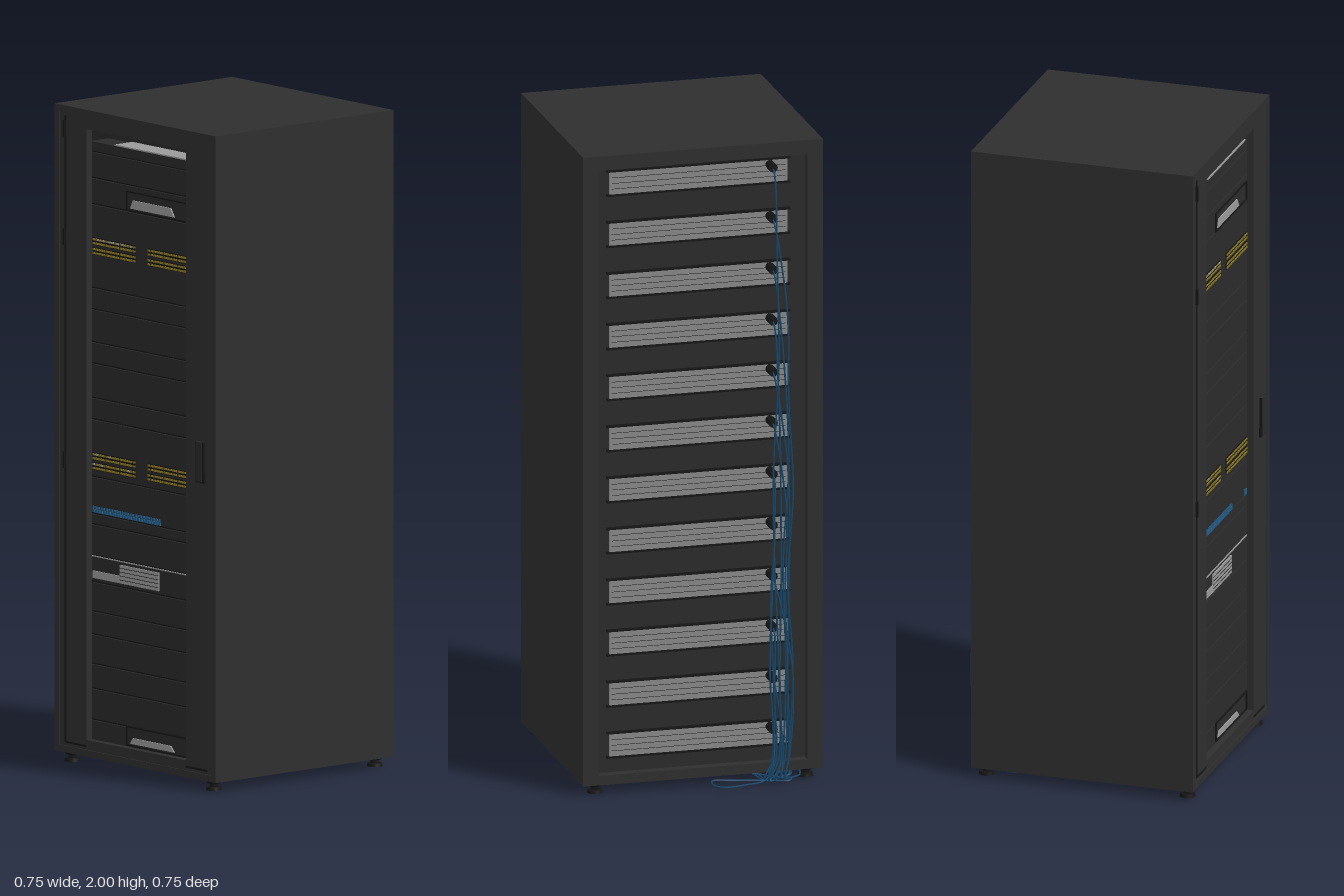
import * as THREE from 'three';
import { mergeGeometries } from 'three/addons/utils/BufferGeometryUtils.js';

const mat = (name, color, side = THREE.FrontSide) => {
  const m = new THREE.MeshStandardMaterial({ color, side });
  m.name = name;
  return m;
};

// Box geometry from its limits
function span(x0, x1, y0, y1, z0, z1) {
  return new THREE.BoxGeometry(x1 - x0, y1 - y0, z1 - z0)
    .translate((x0 + x1) / 2, (y0 + y1) / 2, (z0 + z1) / 2);
}

// Rectangular plate with one rectangular opening
function frame(o, i, z0, z1) {
  const rect = (C, [a, b, c, d]) => {
    const s = new C();
    s.moveTo(a, c); s.lineTo(b, c); s.lineTo(b, d); s.lineTo(a, d); s.closePath();
    return s;
  };
  const shape = rect(THREE.Shape, o);
  shape.holes.push(rect(THREE.Path, i));
  return new THREE.ExtrudeGeometry(shape, { depth: z1 - z0, bevelEnabled: false }).translate(0, 0, z0);
}

export function createModel() {
  const root = new THREE.Group();
  root.name = 'serverRack';
  const body = mat('cabinetCharcoal', 0x2e2e2e);
  const device = mat('deviceCharcoal', 0x2a2a2a);
  const black = mat('gapBlack', 0x151515);
  const light = mat('lightGrey', 0x9a9a9a);
  const grille = mat('grilleGrey', 0x8a8a8a);
  const yellow = mat('portYellow', 0x8a7822);
  const blue = mat('portBlue', 0x235f8c);
  const cableBlue = mat('cableBlue', 0x17486c);
  const add = (name, geo, m) => {
    const mesh = new THREE.Mesh(Array.isArray(geo) ? mergeGeometries(geo) : geo, m);
    mesh.name = name;
    root.add(mesh);
    return mesh;
  };
  let seed = 7;
  const rnd = () => (seed = (seed * 16807) % 2147483647) / 2147483647;

  // Cabinet shell
  const W = 0.373, ZB = -0.33, ZF = 0.37;
  add('sidePanels', [span(-W, -W + 0.02, 0.03, 2, ZB, ZF), span(W - 0.02, W, 0.03, 2, ZB, ZF)], body);
  add('roof', span(-W + 0.02, W - 0.02, 1.98, 2, ZB, ZF), body);
  add('floorPanel', span(-W + 0.02, W - 0.02, 0.03, 0.05, ZB, ZF), body);
  add('backFrame', frame([-W + 0.02, W - 0.02, 0.05, 1.98], [-0.325, 0.325, 0.06, 1.955], ZB, ZB + 0.03), body);
  add('equipmentCore', span(-0.35, 0.35, 0.05, 1.98, -0.27, 0.27), device);

  // Front door with its window, hinge slot and lower seams
  add('frontDoor', frame([-W + 0.02, W - 0.02, 0.05, 1.98], [-0.23, 0.23, 0.08, 1.94], 0.345, 0.366), body);
  add('doorSeams', [
    span(-0.329, -0.322, 0.06, 1.97, 0.364, 0.3675),
    span(-0.322, -0.23, 0.058, 0.064, 0.364, 0.3675),
    span(0.23, 0.33, 0.058, 0.064, 0.364, 0.3675),
  ], black);
  add('hinges', [0.92, 1.6, 1.93].map(y => span(-0.333, -0.325, y - 0.025, y + 0.025, 0.366, 0.373)), black);
  add('handlePlate', span(0.281, 0.322, 0.935, 0.965, 0.366, 0.372), black);
  add('handleGrip', span(0.288, 0.315, 0.94, 1.06, 0.366, 0.376), device);
  add('handleEdges', [span(0.285, 0.288, 0.94, 1.06, 0.366, 0.374), span(0.315, 0.318, 0.94, 1.06, 0.366, 0.374)], black);

  // Stacked devices behind the window, with dark gaps between them
  add('gapBacking', span(-0.24, 0.24, 0.07, 1.87, 0.26, 0.335), black);
  const seams = [0.07, 0.14, 0.235, 0.31, 0.4, 0.47, 0.56, 0.64, 0.735, 0.768, 0.88, 1.055, 1.12, 1.225,
    1.29, 1.39, 1.455, 1.71, 1.79, 1.87];
  const fronts = [];
  for (let i = 0; i + 1 < seams.length; i++)
    fronts.push(span(-0.24, 0.24, seams[i] + 0.003, seams[i + 1] - 0.003, 0.3, 0.342));
  fronts.push(span(-0.24, 0.24, 1.873, 1.9, 0.27, 0.342));
  add('deviceFronts', fronts, device);
  add('topTray', span(-0.13, 0.23, 1.9, 1.904, 0.27, 0.34), light);

  // Drawers with light labels
  for (const y of [0.082, 1.712]) {
    add('drawerOutline', frame([-0.07, 0.23, y, y + 0.06], [-0.066, 0.23 - 0.004, y + 0.004, y + 0.056], 0.341, 0.346), black);
    const s = new THREE.Shape();
    s.moveTo(-0.052, y + 0.008); s.lineTo(0.152, y + 0.008); s.lineTo(0.135, y + 0.034); s.lineTo(-0.04, y + 0.034);
    if (y < 1) for (const c of s.curves) for (const p of [c.v1, c.v2]) p.y = Math.min(p.y, y + 0.026);
    add('drawerPlate', new THREE.ExtrudeGeometry(s, { depth: 0.004, bevelEnabled: false }).translate(0, 0, 0.342), light);
  }

  // Vented grey unit
  add('ventPlates', [span(-0.1, 0.08, 0.572, 0.628, 0.342, 0.346), span(-0.225, -0.1, 0.572, 0.594, 0.342, 0.346),
    span(-0.23, 0.23, 0.637, 0.64, 0.342, 0.345)], light);
  const slots = [];
  for (let i = 0; i < 4; i++) slots.push(span(-0.1, 0.08, 0.582 + i * 0.012, 0.5835 + i * 0.012, 0.346, 0.347));
  add('ventSlots', slots, black);

  // Patch panels: two rows of ports in two halves
  const ports = [], sockets = [], labels = [];
  for (const y of [0.902, 1.557])
    for (const x0 of [-0.226, 0.03])
      for (let r = 0; r < 2; r++)
        for (let c = 0; c < 16; c++) {
          const x = x0 + c * 0.0125, py = y + r * 0.03;
          sockets.push(span(x, x + 0.0115, py, py + 0.023, 0.342, 0.345));
          ports.push(span(x + 0.001, x + 0.0105, py + 0.002, py + 0.008, 0.345, 0.347));
          (rnd() < 0.25 && x0 < 0 ? labels : ports)
            .push(span(x + 0.001, x + 0.0105, py + 0.014, py + 0.02, 0.345, 0.347));
        }
  add('portSockets', sockets, black);
  add('yellowPorts', ports, yellow);
  add('portLabels', labels, light);

  // Blue switch ports
  const bluePorts = [];
  for (let c = 0; c < 26; c++) {
    const x = -0.226 + c * 0.0122;
    bluePorts.push(span(x, x + 0.009, 0.772, 0.782, 0.342, 0.346), span(x, x + 0.006, 0.784, 0.791, 0.342, 0.346));
  }
  bluePorts.push(span(0.208, 0.216, 0.772, 0.79, 0.342, 0.346), span(0.22, 0.228, 0.772, 0.79, 0.342, 0.346));
  add('bluePorts', bluePorts, blue);

  // Rear grilles, outlines and plugs
  const grilles = [], rims = [], plugs = [];
  for (let i = 0; i < 12; i++) {
    const y = 1.932 - i * 0.16;
    grilles.push(span(-0.277, 0.277, y - 0.07, y, -0.278, -0.27));
    rims.push(span(-0.285, 0.285, y, y + 0.006, -0.282, -0.27), span(-0.285, 0.285, y - 0.076, y - 0.07, -0.282, -0.27));
    for (let k = 1; k < 4; k++) rims.push(span(-0.27, 0.27, y - k * 0.0175 - 0.001, y - k * 0.0175, -0.2795, -0.278));
    plugs.push(new THREE.CylinderGeometry(0.014, 0.014, 0.04, 12).rotateX(Math.PI / 2).translate(-0.222, y - 0.015, -0.298));
  }
  add('rearGrilles', grilles, grille);
  add('rearRims', rims, black);
  add('plugs', plugs, black);

  // Cables dropping from each plug and coiling on the ground
  const cables = [];
  for (let i = 0; i < 12; i++) {
    const y = 1.917 - i * 0.16, x = -0.2 - 0.075 * rnd(), z = -0.333 - 0.018 * rnd();
    const pts = [new THREE.Vector3(-0.222, y, -0.3), new THREE.Vector3(-0.222, y - 0.01, -0.33)];
    const n = Math.max(1, Math.round(y / 0.3));
    for (let k = 1; k <= n; k++)
      pts.push(new THREE.Vector3(x + (rnd() - 0.5) * 0.025, y + (0.07 - y) * k / n, z - 0.012 * rnd()));
    const ex = -0.32 + 0.2 * rnd(), ez = -0.22 - 0.12 * rnd();
    pts.push(new THREE.Vector3(x + 0.02, 0.012, z - 0.01), new THREE.Vector3((x + ex) / 2, 0.006, ez - 0.01),
      new THREE.Vector3(ex, 0.008, ez), new THREE.Vector3(ex - 0.01, 0.012, ez + 0.04));
    cables.push(new THREE.TubeGeometry(new THREE.CatmullRomCurve3(pts), 70, 0.0028, 6));
  }
  const loop = [[-0.22, 0.06, -0.345], [-0.19, 0.015, -0.355], [-0.12, 0.006, -0.366], [-0.05, 0.006, -0.372],
    [-0.025, 0.01, -0.35], [-0.03, 0.015, -0.327], [-0.1, 0.01, -0.325], [-0.2, 0.008, -0.345],
    [-0.26, 0.008, -0.36], [-0.27, 0.01, -0.34], [-0.23, 0.012, -0.33]].map(p => new THREE.Vector3(...p));
  cables.push(new THREE.TubeGeometry(new THREE.CatmullRomCurve3(loop), 90, 0.0028, 6));
  add('cables', cables, cableBlue);

  // Levelling feet
  const feet = [];
  for (const x of [-0.327, 0.327])
    for (const z of [-0.295, 0.338])
      feet.push(new THREE.CylinderGeometry(0.022, 0.024, 0.01, 16).translate(x, 0.005, z),
        new THREE.CylinderGeometry(0.012, 0.012, 0.02, 12).translate(x, 0.018, z),
        new THREE.CylinderGeometry(0.026, 0.02, 0.01, 16).translate(x, 0.026, z));
  add('feet', feet, black);

  return root;
}
